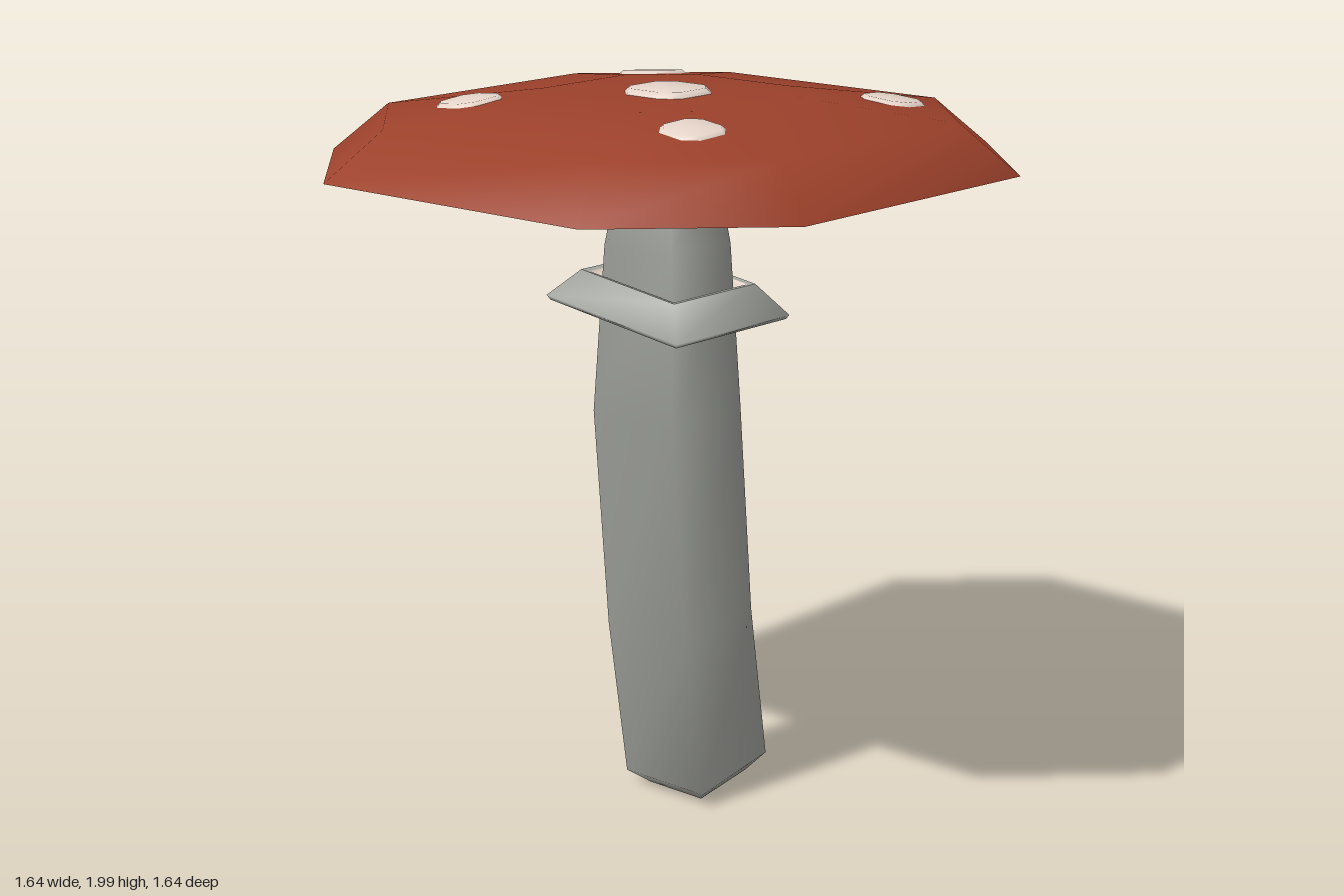
import * as THREE from 'three';

const capMat = new THREE.MeshStandardMaterial({ color: 0x9c412b, name: 'capRed' });
const gillMat = new THREE.MeshStandardMaterial({ color: 0x352222, name: 'gillBrown' });
const stalkMat = new THREE.MeshStandardMaterial({ color: 0xa5a7a1, name: 'stalkGrey' });
const spotMat = new THREE.MeshStandardMaterial({ color: 0xe6d5ca, name: 'spotCream' });

// Corner points, counter-clockwise from above, as [x, -z]
const K = 0.54;
const OCT = [[1, -K], [1, K], [K, 1], [-K, 1], [-1, K], [-1, -K], [-K, -1], [K, -1]];
const SQUARE = [[1, -1], [1, 1], [-1, 1], [-1, -1]];

// Loop of half-width h centred at (x, y, z); sx and sz tilt it along x and z
const ring = (shape, h, y, { x = 0, z = 0, sx = 0, sz = 0, hz = h } = {}) =>
  shape.map(([u, v]) => [x + u * h, y + u * h * sx - v * hz * sz, z - v * hz]);

// Skin loops into one smooth surface (rising loops face outward); optionally close the ends
function loft(loops, { bottom = false, top = false } = {}) {
  const n = loops[0].length, pos = loops.flat(), idx = [];
  for (let r = 0; r < loops.length - 1; r++) {
    for (let i = 0; i < n; i++) {
      const a = r * n + i, b = r * n + (i + 1) % n;
      idx.push(a, b, b + n, a, b + n, a + n);
    }
  }
  const close = (loop, start, up) => {
    const c = pos.length;
    pos.push([0, 1, 2].map(k => loop.reduce((s, p) => s + p[k], 0) / n));
    for (let i = 0; i < n; i++) {
      const a = start + i, b = start + (i + 1) % n;
      idx.push(c, ...(up ? [a, b] : [b, a]));
    }
  };
  if (bottom) close(loops[0], 0, false);
  if (top) close(loops[loops.length - 1], (loops.length - 1) * n, true);
  const g = new THREE.BufferGeometry();
  g.setAttribute('position', new THREE.Float32BufferAttribute(pos.flat(), 3));
  g.setIndex(idx);
  g.computeVertexNormals();
  return g;
}

function add(parent, name, geo, mat) {
  const m = new THREE.Mesh(geo, mat);
  m.name = name;
  parent.add(m);
  return m;
}

export function createModel() {
  const model = new THREE.Group();
  model.name = 'mushroom';

  // Bent square stalk with a bevelled foot, running up into the hollow cap
  add(model, 'stalk', loft([
    ring(SQUARE, 0.095, 0.02, { x: 0.127, sx: 0.15 }),
    ring(SQUARE, 0.136, 0.067, { x: 0.121, sx: 0.17, hz: 0.142 }),
    ring(SQUARE, 0.138, 0.52, { x: 0.05, sx: 0.12, hz: 0.142 }),
    ring(SQUARE, 0.139, 1.13, { x: -0.004, sx: 0.04, hz: 0.142 }),
    ring(SQUARE, 0.119, 1.58, { x: -0.002 }),
    ring(SQUARE, 0.088, 1.81),
    ring(SQUARE, 0.064, 1.92),
  ], { bottom: true }), stalkMat);

  // Tilted collar round the stalk, with a thin lip and a shallow pale top
  const collar = new THREE.Group();
  collar.name = 'collar';
  model.add(collar);
  const collarRing = (h, y) => ring(SQUARE, h, y, { x: 0.014, z: -0.011, sz: -0.14 });
  const crest = collarRing(0.165, 1.487), inner = collarRing(0.15, 1.484);
  add(collar, 'collarSide', loft([
    collarRing(0.224, 1.397), collarRing(0.231, 1.409), crest,
  ], { bottom: true }), stalkMat);
  add(collar, 'collarRim', loft([crest, inner]), stalkMat);
  add(collar, 'collarTop', loft([inner, collarRing(0.135, 1.474)], { top: true }), spotMat);

  // Faceted cap with a smooth crown, a flat rim and a dark hollow rising to the stalk
  add(model, 'cap', loft([
    ring(OCT, 0.82, 1.8), ring(OCT, 0.68, 1.93), ring(OCT, 0.3, 1.985),
  ], { top: true }), capMat);
  add(model, 'capRim', loft([ring(OCT, 0.695, 1.8), ring(OCT, 0.82, 1.8)]), capMat);
  add(model, 'gills', loft([
    ring(OCT, 0.07, 1.905), ring(OCT, 0.695, 1.8),
  ], { bottom: true }), gillMat);

  // Raised spots: x, z, half-width, turn, height
  const up = new THREE.Vector3(0, 1, 0);
  const spots = [
    [0, 0, 0.106, 0, 0.015], [-0.345, -0.393, 0.081, -0.05, 0.01], [0.383, -0.396, 0.086, 0.25, 0.01],
    [-0.325, 0.367, 0.077, -0.12, 0.01], [0.46, 0.39, 0.079, 0.12, 0.01],
  ];
  for (const [x, z, h, turn, rise] of spots) {
    const r = (Math.abs(x) + Math.abs(z)) / (1 + K);
    const y = 1.985 - Math.max(0, r - 0.3) * 0.145;
    const spot = add(model, 'spot', loft([
      ring(OCT, h, -0.003), ring(OCT, h * 0.85, rise),
    ], { top: true }), spotMat);
    spot.position.set(x, y, z);
    const normal = new THREE.Vector3(Math.sign(x) * 0.094, 1, Math.sign(z) * 0.094).normalize();
    spot.quaternion.setFromUnitVectors(up, normal)
      .multiply(new THREE.Quaternion().setFromAxisAngle(up, turn));
  }
  return model;
}
